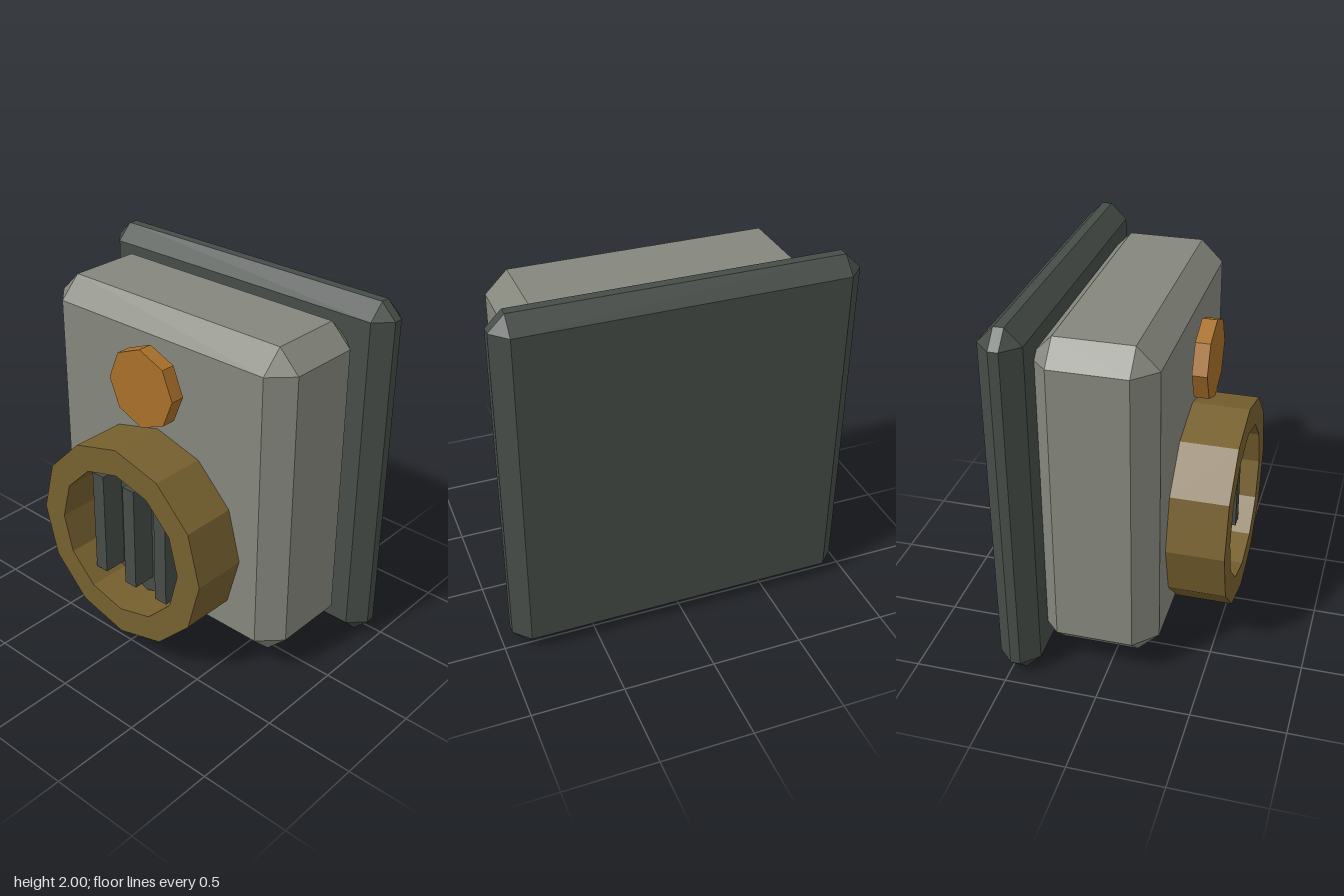
import * as THREE from 'three';
import { ConvexGeometry } from 'three/addons/geometries/ConvexGeometry.js';

const mat = (color) => new THREE.MeshStandardMaterial({ color, flatShading: true });

// Box with every edge cut at 45 degrees by c
function chamferBox(w, h, d, c) {
  const [x, y, z] = [w / 2, h / 2, d / 2];
  const points = [];
  for (const i of [-1, 1]) for (const j of [-1, 1]) for (const k of [-1, 1]) {
    points.push(
      new THREE.Vector3(i * x, j * (y - c), k * (z - c)),
      new THREE.Vector3(i * (x - c), j * y, k * (z - c)),
      new THREE.Vector3(i * (x - c), j * (y - c), k * z)
    );
  }
  return new ConvexGeometry(points);
}

// Faceted disc facing +z
const disc = (r, depth, sides) =>
  new THREE.CylinderGeometry(r, r, depth, sides).rotateX(Math.PI / 2);

// Regular polygon outline with a corner at the top
const polygon = (r, sides) => Array.from({ length: sides }, (_, i) => {
  const a = Math.PI / 2 + (i / sides) * Math.PI * 2;
  return new THREE.Vector2(r * Math.cos(a), r * Math.sin(a));
});

export function createModel() {
  const group = new THREE.Group();
  const dark = mat(0x464c48), grey = mat(0x85877d);
  const brass = mat(0x76602f), amber = mat(0xa8702a);

  const add = (name, geometry, material, x, y, z) => {
    const mesh = new THREE.Mesh(geometry, material);
    mesh.name = name;
    mesh.position.set(x, y, z);
    group.add(mesh);
  };

  // Wall plate and housing
  add('backPlate', chamferBox(1.9, 2, 0.225, 0.086), dark, 0, 1, -0.457);
  add('housing', chamferBox(1.62, 1.795, 0.645, 0.118), grey, 0, 1.0025, -0.0625);

  // Twelve-sided collar
  const ring = new THREE.Shape(polygon(0.575, 12));
  ring.holes.push(new THREE.Path(polygon(0.425, 12).reverse()));
  add('collar', new THREE.ExtrudeGeometry(ring, { depth: 0.31, bevelEnabled: false }),
    brass, 0, 0.68, 0.26);

  // Recessed grille: octagonal disc with three upright bars
  add('grilleDisc', disc(0.415, 0.1, 8), dark, 0, 0.68, 0.305);
  for (const x of [-0.225, 0, 0.225]) {
    add('grilleBar', new THREE.BoxGeometry(0.08, 0.61, 0.14), dark, x, 0.68, 0.42);
  }

  // Indicator lamp
  add('lamp', disc(0.22, 0.08, 8), amber, 0, 1.53, 0.34);

  return group;
}
